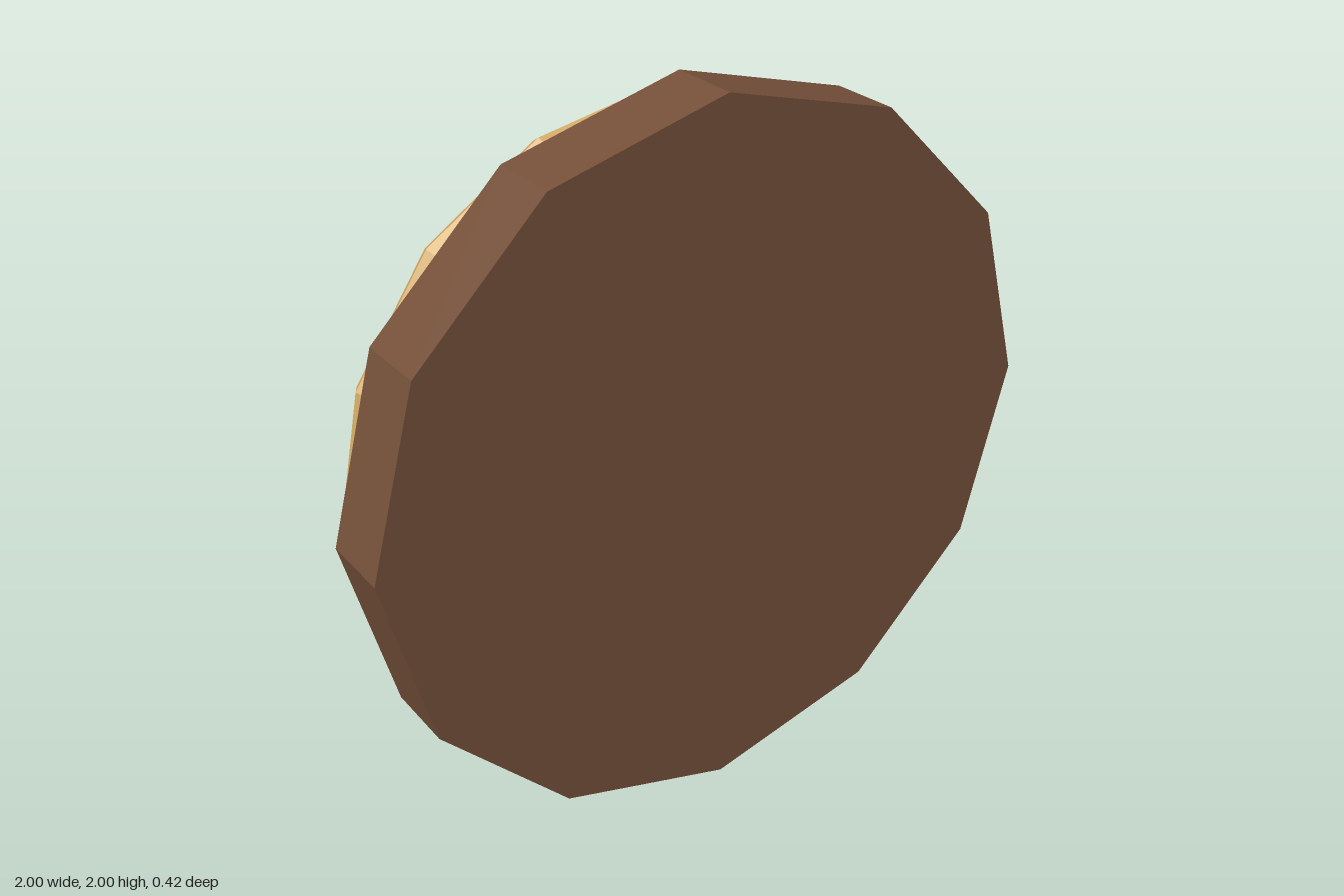
import * as THREE from 'three';

const mat = (color, side = THREE.FrontSide) =>
  new THREE.MeshStandardMaterial({ color, flatShading: true, side });

function addMesh(parent, name, geometry, material, y, z) {
  const mesh = new THREE.Mesh(geometry, material);
  mesh.name = name;
  mesh.position.set(0, y, z);
  parent.add(mesh);
  return mesh;
}

// Thin triangular ray pointing along +y; the base sits slightly prouder than the tip
function rayGeometry(inner, outer, halfWidth, lift) {
  const g = new THREE.BufferGeometry();
  g.setAttribute('position', new THREE.Float32BufferAttribute([
    -halfWidth, inner, -lift,
    0, outer, 0,
    halfWidth, inner, -lift,
  ], 3));
  g.computeVertexNormals();
  return g;
}

export function createModel() {
  const group = new THREE.Group();
  group.name = 'compassDisc';

  const wood = mat(0x75503a);
  const brass = mat(0xd2a964);
  const paleGold = mat(0xd8bf80, THREE.DoubleSide);
  const teal = mat(0x489a9a);

  // Twelve-sided wooden disc
  const disc = new THREE.CylinderGeometry(1, 1, 0.207, 12).rotateX(Math.PI / 2);
  addMesh(group, 'disc', disc, wood, 1, 0.109);

  // Hexagonal-section rim ring on the back
  addMesh(group, 'rimRing', new THREE.TorusGeometry(0.916, 0.047, 6, 16), brass, 1, -0.043);

  // Star of eight rays, long and short in turn
  const star = new THREE.Group();
  star.name = 'star';
  star.position.set(0, 1, -0.103);
  group.add(star);
  for (let i = 0; i < 8; i++) {
    const long = i % 2 === 0;
    const geometry = rayGeometry(0.25, long ? 0.768 : 0.54, 0.073, long ? 0 : 0.007);
    const ray = addMesh(star, long ? 'longRay' : 'shortRay', geometry, paleGold, 0, 0);
    ray.rotation.z = i * Math.PI / 4;
  }

  // Flattened faceted gem, standing on a point
  const gem = new THREE.IcosahedronGeometry(0.155, 0)
    .rotateZ(-Math.atan(2 / (1 + Math.sqrt(5))))
    .scale(1, 1, 0.48);
  addMesh(group, 'gem', gem, teal, 1, -0.149);

  return group;
}
